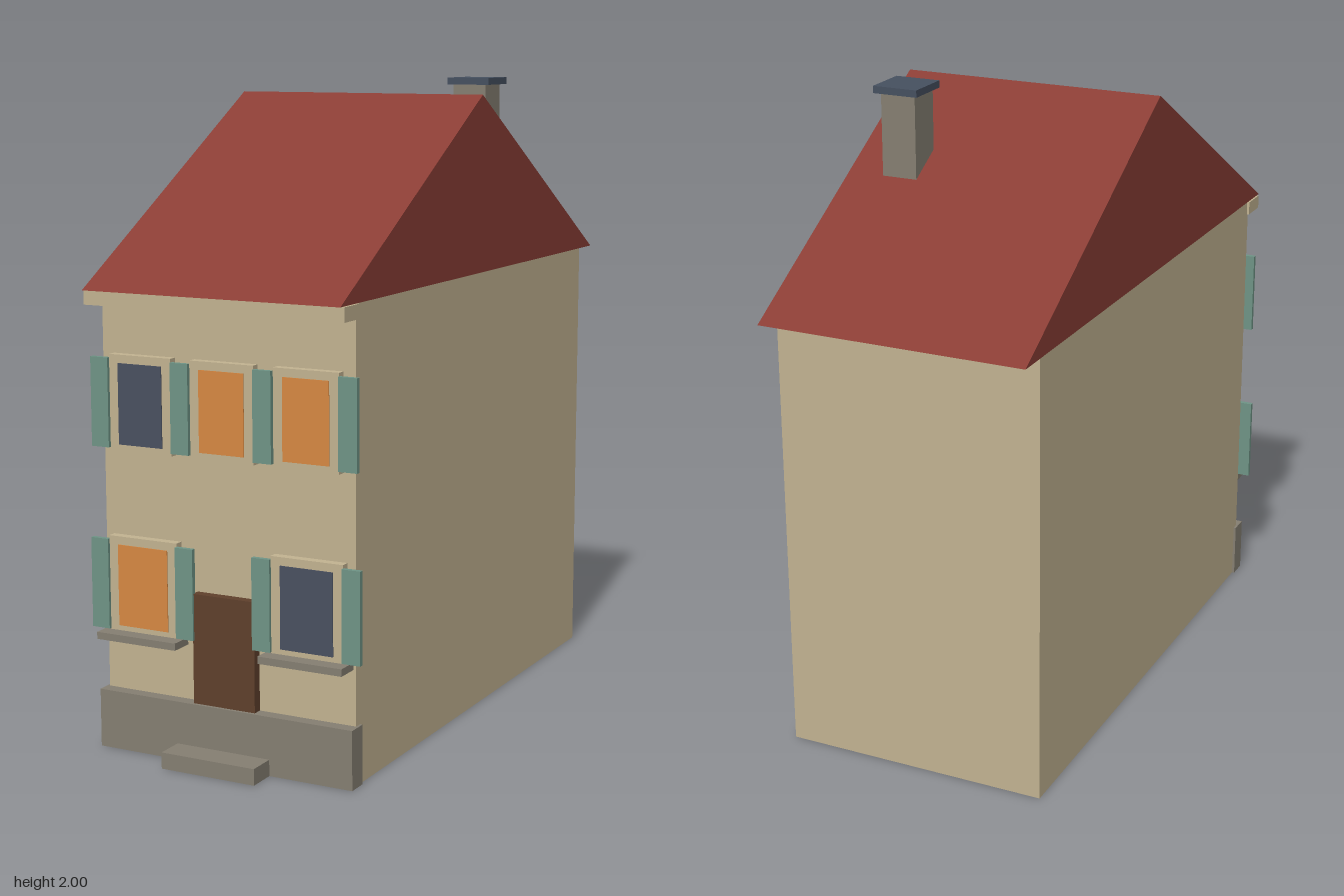
import * as THREE from 'three';

const mat = (name, color) => Object.assign(new THREE.MeshStandardMaterial({ color }), { name });

export function createModel() {
  const house = new THREE.Group();
  house.name = 'house';
  const plaster = mat('plaster', 0xc2b391);
  const tile = mat('roofTile', 0x8a3d35);
  const stone = mat('stone', 0x857f72);
  const slate = mat('slate', 0x465060);
  const darkGlass = mat('darkGlass', 0x4a5060);
  const litGlass = mat('litGlass', 0xd68842);
  const green = mat('shutterGreen', 0x6f9486);
  const wood = mat('doorWood', 0x5f402c);

  // Box given by its limits on each axis
  function box(name, material, [x0, x1], [y0, y1], [z0, z1], parent = house) {
    const mesh = new THREE.Mesh(new THREE.BoxGeometry(x1 - x0, y1 - y0, z1 - z0), material);
    mesh.position.set((x0 + x1) / 2, (y0 + y1) / 2, (z0 + z1) / 2);
    mesh.name = name;
    parent.add(mesh);
    return mesh;
  }

  // Walls, cornice, plinth, step and door
  box('walls', plaster, [-0.422, 0.422], [0, 1.404], [-0.86, 0.84]);
  box('cornice', plaster, [-0.43, 0.43], [1.36, 1.403], [0.83, 0.925]);
  box('plinth', stone, [-0.43, 0.43], [0, 0.18], [0.815, 0.88]);
  box('doorStep', stone, [-0.157, 0.157], [0, 0.05], [0.87, 0.97]);
  box('door', wood, [-0.104, 0.104], [0.17, 0.515], [0.83, 0.87]);

  // Gabled roof: triangle in profile, extruded across the width
  const gable = new THREE.Shape([
    new THREE.Vector2(-0.94, 1.404),
    new THREE.Vector2(0.96, 1.404),
    new THREE.Vector2(0.01, 1.955),
  ]);
  const roofGeo = new THREE.ExtrudeGeometry(gable, { depth: 0.85, bevelEnabled: false });
  roofGeo.translate(0, 0, -0.425).rotateY(Math.PI / 2);
  const roof = new THREE.Mesh(roofGeo, tile);
  roof.name = 'roof';
  house.add(roof);

  // Chimney
  box('chimneyShaft', stone, [0.195, 0.308], [1.65, 1.98], [-0.41, -0.295]);
  box('chimneyCap', slate, [0.18, 0.325], [1.978, 2], [-0.427, -0.28]);

  // Framed window with a thin pane
  function windowUnit(x, y0, y1, halfW, paneHalfW, glass) {
    const unit = new THREE.Group();
    unit.name = 'window';
    box('windowFrame', plaster, [x - halfW, x + halfW], [y0, y1], [0.83, 0.868], unit);
    box('windowPane', glass, [x - paneHalfW, x + paneHalfW], [y0 + 0.021, y1 - 0.025], [0.864, 0.871], unit);
    house.add(unit);
  }
  const shutter = (x0, x1, y0, y1) => box('shutter', green, [x0, x1], [y0, y1], [0.862, 0.877]);

  // Upper floor
  [[-0.277, darkGlass], [0, litGlass], [0.277, litGlass]].forEach(([x, glass]) =>
    windowUnit(x, 0.92, 1.21, 0.106, 0.075, glass));
  for (const x of [-0.414, -0.138, 0.138, 0.414]) shutter(x - 0.03, x + 0.03, 0.93, 1.2);

  // Ground floor, with sills
  [[-0.277, litGlass], [0.277, darkGlass]].forEach(([x, glass]) => {
    windowUnit(x, 0.365, 0.66, 0.118, 0.086, glass);
    box('windowSill', stone, [x - 0.137, x + 0.137], [0.348, 0.37], [0.83, 0.915]);
    for (const s of [-1, 1]) shutter(x + s * 0.147 - 0.03, x + s * 0.147 + 0.03, 0.373, 0.65);
  });

  return house;
}
